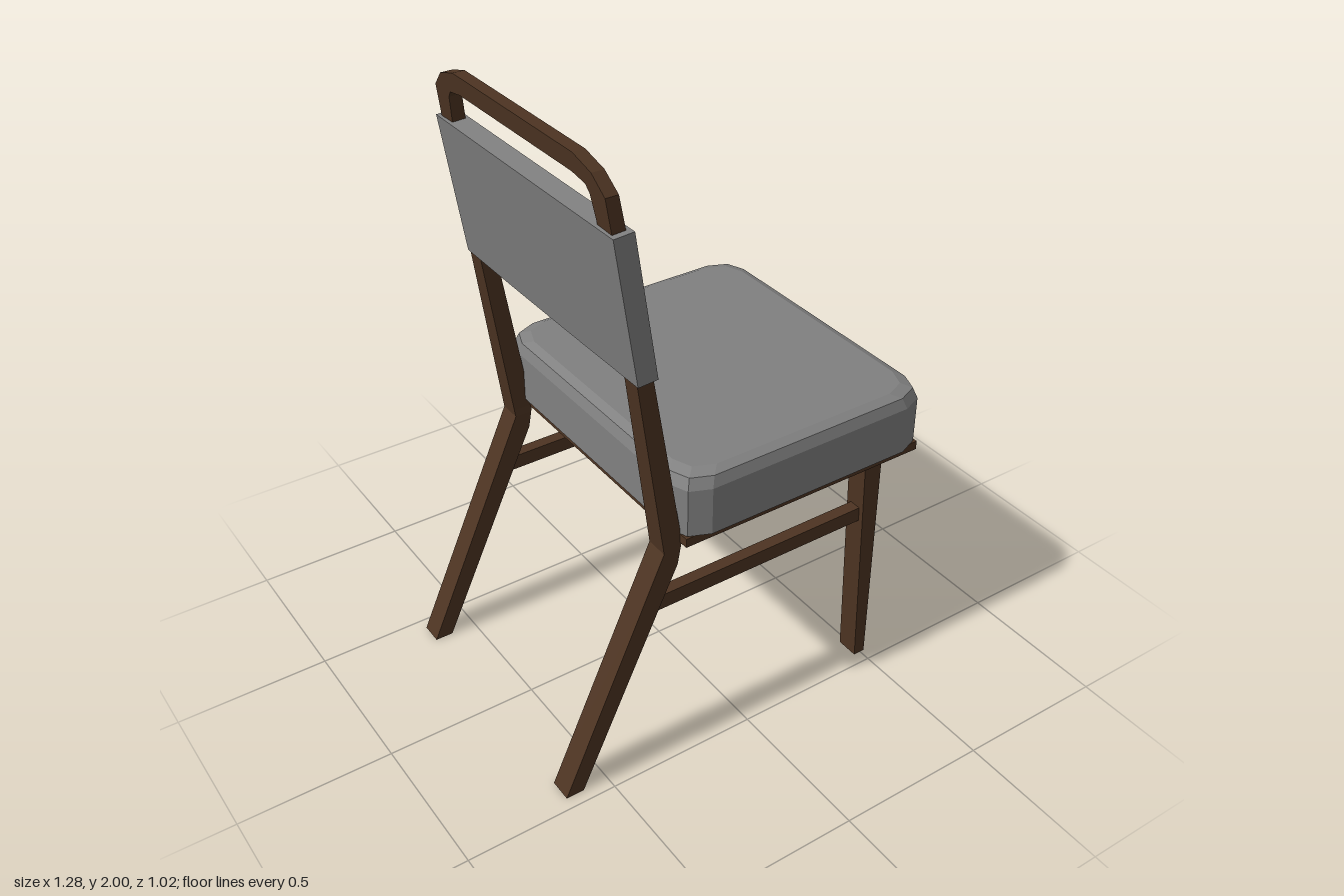
import * as THREE from 'three';

// Skin a closed solid through matching rings of [x, y, z] points.
// Rings run counter-clockwise when seen from the end of the sweep.
function loft(rings) {
  const pos = [];
  const tri = (a, b, c) => pos.push(...a, ...b, ...c);
  const n = rings[0].length;
  for (let i = 0; i < rings.length - 1; i++) {
    const r = rings[i], s = rings[i + 1];
    for (let j = 0; j < n; j++) {
      const k = (j + 1) % n;
      tri(r[j], r[k], s[k]);
      tri(r[j], s[k], s[j]);
    }
  }
  const first = rings[0], last = rings[rings.length - 1];
  for (let j = 1; j < n - 1; j++) {
    tri(first[0], first[j + 1], first[j]);
    tri(last[0], last[j], last[j + 1]);
  }
  const g = new THREE.BufferGeometry();
  g.setAttribute('position', new THREE.Float32BufferAttribute(pos, 3));
  g.computeVertexNormals(); // unshared corners give flat faces
  return g;
}

// Piecewise linear lookup of x at height y from [y, x] pairs
function xAt(profile, y) {
  let i = 0;
  while (i < profile.length - 2 && y > profile[i + 1][0]) i++;
  const [y0, x0] = profile[i], [y1, x1] = profile[i + 1];
  return x0 + (x1 - x0) * (y - y0) / (y1 - y0);
}

export function createModel() {
  const group = new THREE.Group();
  const wood = new THREE.MeshStandardMaterial({ color: 0x4d3422 });
  wood.name = 'darkWood';
  const fabric = new THREE.MeshStandardMaterial({ color: 0x808080 });
  fabric.name = 'greyFabric';

  const add = (name, geometry, material, x = 0, y = 0, z = 0) => {
    const m = new THREE.Mesh(geometry, material);
    m.name = name;
    m.position.set(x, y, z);
    group.add(m);
  };

  // Back frame: raked rear legs, posts and top rail in one continuous sweep
  const rear = [[0, -0.645], [0.775, -0.294], [2, -0.465]];
  const front = [[0, -0.585], [0.72, -0.247], [0.8, -0.233], [2, -0.427]];
  const half = [ // inner z, inner y, outer z, outer y
    [0.385, 0, 0.46, 0], [0.385, 0.72, 0.46, 0.72], [0.385, 0.775, 0.46, 0.775],
    [0.386, 0.8, 0.46, 0.8], [0.393, 1.37, 0.455, 1.37], [0.38, 1.825, 0.445, 1.83],
    [0.366, 1.91, 0.44, 1.925], [0.35, 1.93, 0.39, 1.975], [0.29, 1.94, 0.31, 2],
  ];
  const section = ([zi, yi, zo, yo], side) => [
    [xAt(front, yo), yo, zo * side], [xAt(front, yi), yi, zi * side],
    [xAt(rear, yi), yi, zi * side], [xAt(rear, yo), yo, zo * side],
  ];
  add('backFrame', loft([
    ...half.map((h) => section(h, 1)),
    ...[...half].reverse().map((h) => section(h, -1)),
  ]), wood);

  // Front legs, tapered on the rear face, and side stretchers
  for (const side of [1, -1]) {
    const c = 0.4225 * side, w = 0.0375;
    const ring = (xBack, y) => [
      [0.515, y, c + w], [0.515, y, c - w], [xBack, y, c - w], [xBack, y, c + w],
    ];
    const label = side > 0 ? 'Near' : 'Far';
    add('frontLeg' + label, loft([ring(0.475, 0), ring(0.45, 0.8)]), wood);
    add('stretcher' + label, new THREE.BoxGeometry(0.8, 0.05, 0.04), wood, 0.07, 0.585, c);
  }

  // Seat board
  add('seatBoard', new THREE.BoxGeometry(0.866, 0.03, 0.98), wood, 0.194, 0.81, 0);

  // Seat cushion: rounded outline, softened top edge
  const cushionRing = (inset, y) => {
    const pts = [];
    const hx = 0.4475 - inset, hz = 0.5125 - inset;
    const cut = [[0, 0.09], [0.024, 0.028], [0.09, 0]]; // corner steps in x, z
    const corners = [[1, 1], [1, -1], [-1, -1], [-1, 1]];
    for (const [sx, sz] of corners) {
      const steps = sx * sz > 0 ? [...cut].reverse() : cut;
      for (const [dx, dz] of steps) pts.push([0.1925 + sx * (hx - dx), y, sz * (hz - dz)]);
    }
    return pts;
  };
  add('seatCushion', loft([
    cushionRing(0, 0.828), cushionRing(0, 0.985),
    cushionRing(0.012, 1.02), cushionRing(0.04, 1.032),
  ]), fabric);

  // Back pad wrapped around the posts, gently bowed across its width
  const padRings = [];
  for (let i = 0; i <= 10; i++) {
    const t = i / 5 - 1, bow = 1 - t * t;
    const dx = -0.01 * bow, dy = 0.009 * bow;
    padRings.push([[-0.38, 1.37], [-0.316, 1.374], [-0.385, 1.827], [-0.449, 1.823]]
      .map(([x, y]) => [x + dx, y + dy, 0.464 * t]));
  }
  add('backPad', loft(padRings), fabric);

  return group;
}
